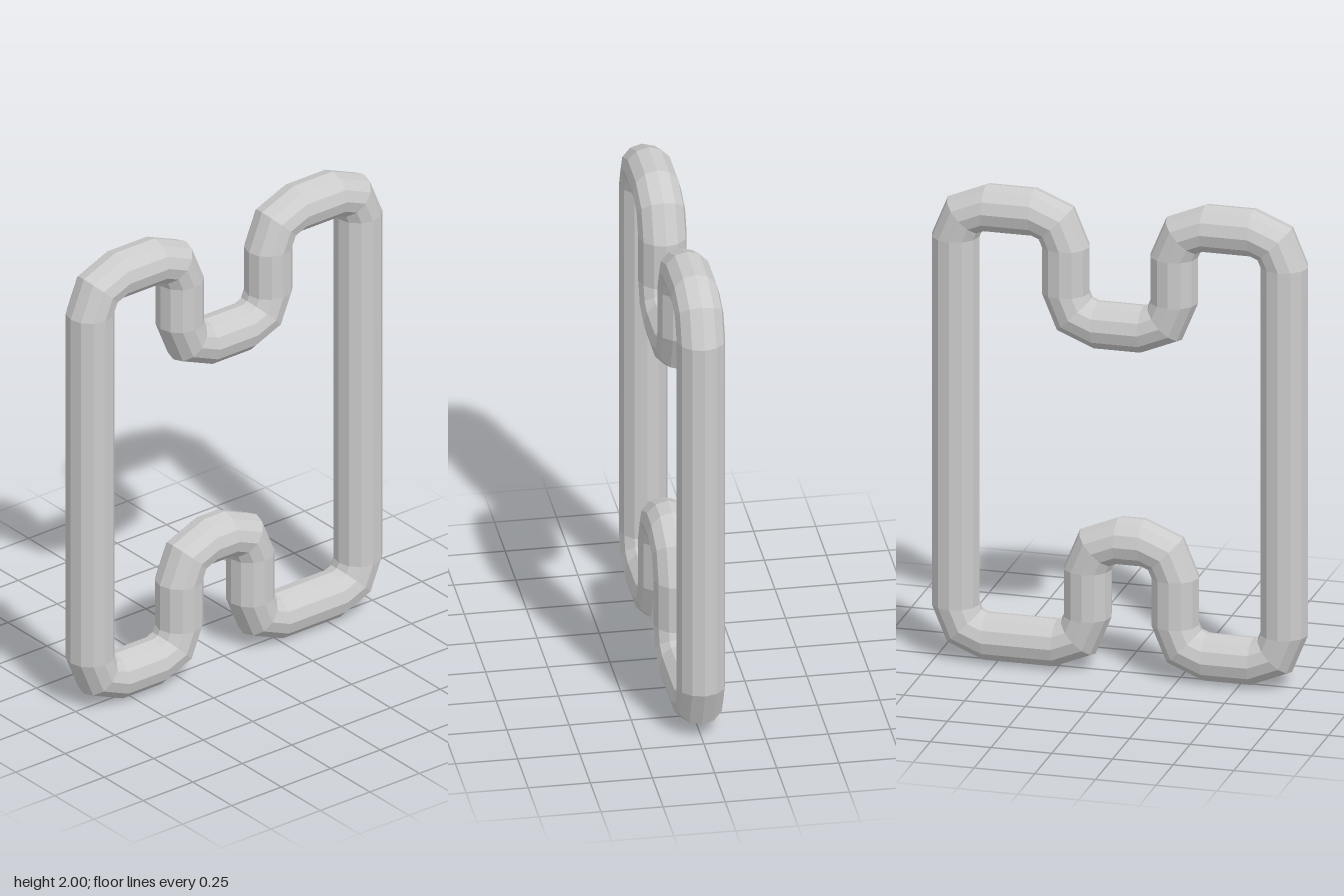
import * as THREE from 'three';

const TUBE = 0.0975;  // tube radius
const BEND = 0.128;   // bend radius of the centre line
const SIDES = 12;
const STEPS = 2;      // segments per bend

// Corners of the closed centre line, counter-clockwise, before rounding
const CORNERS = [
  [-0.677, 0.0975], [-0.227, 0.0975], [-0.227, 0.553], [0.132, 0.553],
  [0.132, 0.0975], [0.677, 0.0975], [0.677, 1.9025], [0.224, 1.9025],
  [0.224, 1.453], [-0.224, 1.453], [-0.224, 1.9025], [-0.677, 1.9025],
].map(([x, y]) => new THREE.Vector2(x, y));

// Rounds every corner into an arc; returns centre points with tangents
function roundedPath(corners) {
  const n = corners.length, path = [];
  corners.forEach((corner, i) => {
    const tIn = corner.clone().sub(corners[(i + n - 1) % n]).normalize();
    const tOut = corners[(i + 1) % n].clone().sub(corner).normalize();
    const centre = corner.clone().addScaledVector(tIn, -BEND).addScaledVector(tOut, BEND);
    for (let s = 0; s <= STEPS; s++) {
      const a = (s / STEPS) * Math.PI / 2, c = Math.cos(a), d = Math.sin(a);
      path.push({
        point: centre.clone().addScaledVector(tOut, -BEND * c).addScaledVector(tIn, BEND * d),
        tangent: tIn.clone().multiplyScalar(c).addScaledVector(tOut, d),
      });
    }
  });
  return path;
}

// Sweeps a polygonal ring along the closed path
function sweep(path) {
  const positions = [], index = [];
  path.forEach(({ point, tangent }, i) => {
    const next = (i + 1) % path.length;
    for (let j = 0; j < SIDES; j++) {
      const a = (j / SIDES) * Math.PI * 2, r = TUBE * Math.cos(a);
      positions.push(point.x + tangent.y * r, point.y - tangent.x * r, TUBE * Math.sin(a));
      const k = (j + 1) % SIDES;
      const p = i * SIDES + j, q = next * SIDES + j;
      const u = next * SIDES + k, v = i * SIDES + k;
      index.push(p, q, u, p, u, v);
    }
  });
  const geometry = new THREE.BufferGeometry();
  geometry.setAttribute('position', new THREE.Float32BufferAttribute(positions, 3));
  geometry.setIndex(index);
  const flat = geometry.toNonIndexed();
  flat.computeVertexNormals();
  return flat;
}

export function createModel() {
  const group = new THREE.Group();
  group.name = 'bentTubeFrame';

  // One continuous tube loop with a notch at the top and bottom
  const tube = new THREE.Mesh(
    sweep(roundedPath(CORNERS)),
    new THREE.MeshStandardMaterial({ color: 0xcccccc, flatShading: true }),
  );
  tube.name = 'tubeLoop';
  group.add(tube);
  return group;
}
